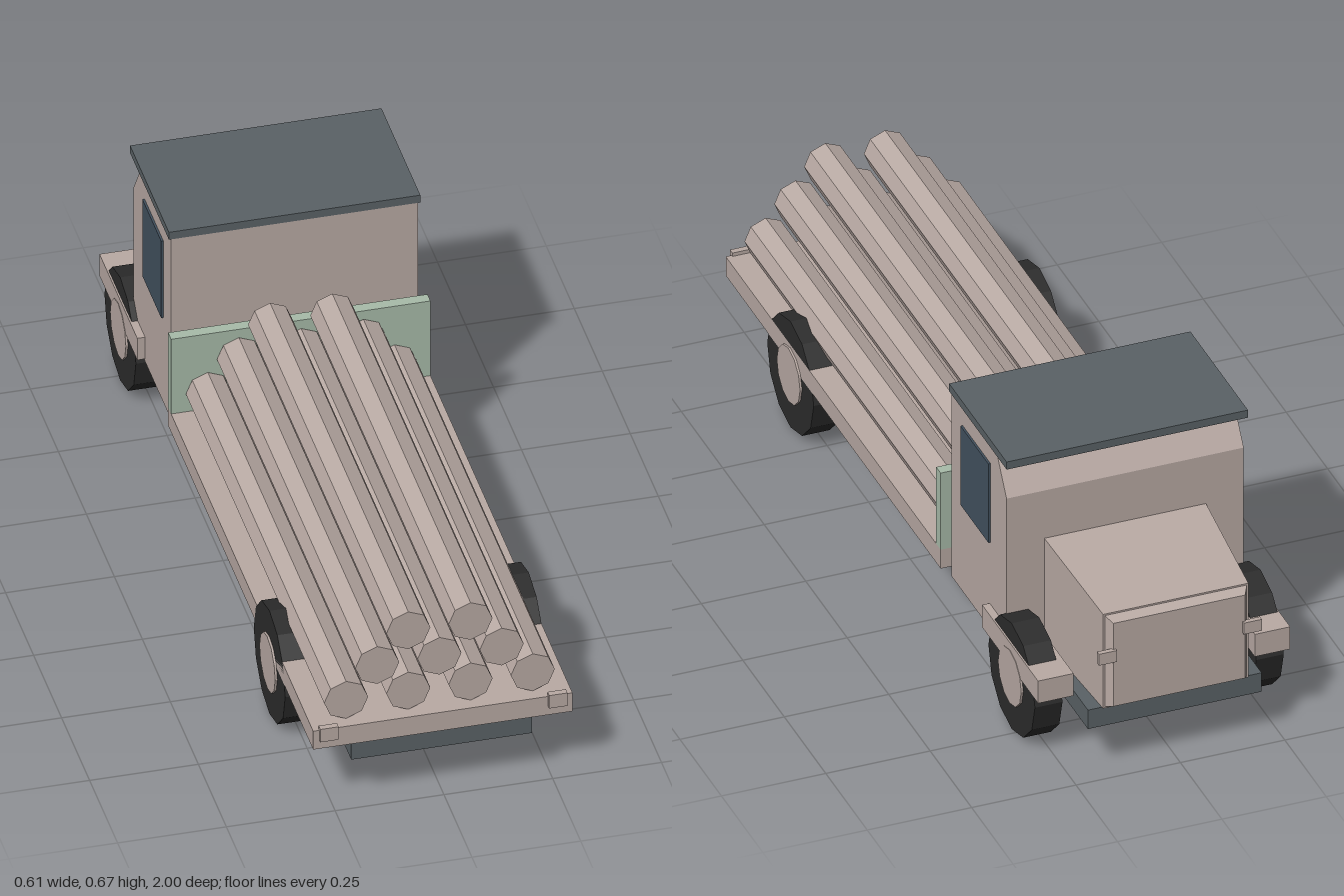
import * as THREE from 'three';

export function createModel() {
  const truck = new THREE.Group();
  truck.name = 'logTruck';

  const material = (name, color) => {
    const m = new THREE.MeshStandardMaterial({ color, flatShading: true });
    m.name = name;
    return m;
  };
  const beige = material('beige', 0xb9aaa4);
  const slate = material('slate', 0x5a6266);
  const green = material('paleGreen', 0xa8bba9);
  const glass = material('windowBlue', 0x42515f);
  const rubber = material('rubber', 0x2c2c2c);

  const add = (name, geometry, mat, parent = truck) => {
    const mesh = new THREE.Mesh(geometry, mat);
    mesh.name = name;
    parent.add(mesh);
    return mesh;
  };
  // Box given by its limits on each axis
  const box = (name, mat, x0, x1, y0, y1, z0, z1) => {
    const g = new THREE.BoxGeometry(x1 - x0, y1 - y0, z1 - z0);
    g.translate((x0 + x1) / 2, (y0 + y1) / 2, (z0 + z1) / 2);
    return add(name, g, mat);
  };
  // Box whose two end faces along z differ: [z, half width, bottom, top]
  const taperedBox = (name, mat, a, b) => {
    const g = new THREE.BoxGeometry(2, 2, 2);
    const p = g.attributes.position;
    for (let i = 0; i < p.count; i++) {
      const [z, w, y0, y1] = p.getZ(i) > 0 ? a : b;
      p.setXYZ(i, p.getX(i) * w, p.getY(i) > 0 ? y1 : y0, z);
    }
    g.computeVertexNormals();
    return add(name, g, mat);
  };

  // Frame, load bed and headboard
  box('chassis', slate, -0.208, 0.208, 0.118, 0.168, -0.966, 0.98);
  box('loadBed', beige, -0.298, 0.298, 0.168, 0.218, -0.305, 0.99);
  box('headboard', green, -0.298, 0.298, 0.218, 0.421, -0.305, -0.278);

  // Cab: side profile with a sloping windscreen, extruded across
  const profile = new THREE.Shape([
    [0.335, 0.163], [0.667, 0.163], [0.667, 0.567], [0.608, 0.653], [0.335, 0.653],
  ].map(([z, y]) => new THREE.Vector2(z, y)));
  const cab = new THREE.ExtrudeGeometry(profile, { depth: 0.568, bevelEnabled: false });
  cab.translate(0, 0, -0.284);
  cab.rotateY(Math.PI / 2);
  add('cab', cab, beige);
  box('roof', slate, -0.289, 0.289, 0.653, 0.673, -0.68, -0.333);

  // Bonnet and bevelled nose
  taperedBox('bonnet', beige, [-0.66, 0.194, 0.168, 0.441], [-0.972, 0.174, 0.168, 0.417]);
  taperedBox('grille', beige, [-0.972, 0.17, 0.172, 0.413], [-0.993, 0.158, 0.182, 0.402]);

  // Stack of octagonal logs
  const logs = new THREE.Group();
  logs.name = 'logs';
  truck.add(logs);
  const logGeometry = new THREE.CylinderGeometry(0.0505, 0.0505, 1.235, 8);
  logGeometry.rotateX(Math.PI / 2);
  [4, 3, 2].forEach((count, row) => {
    for (let i = 0; i < count; i++) {
      const log = add('log', logGeometry, beige, logs);
      log.position.set((i - (count - 1) / 2) * 0.143, 0.268 + row * 0.082, 0.3425);
    }
  });

  // Wheels with hubs
  const tyreGeometry = new THREE.CylinderGeometry(0.14, 0.14, 0.066, 12);
  const hubGeometry = new THREE.CylinderGeometry(0.07, 0.07, 0.07, 12);
  tyreGeometry.rotateZ(Math.PI / 2);
  hubGeometry.rotateZ(Math.PI / 2);
  for (const side of [-1, 1]) {
    for (const z of [0.6, -0.733]) {
      const wheel = new THREE.Group();
      wheel.name = 'wheel';
      wheel.position.set(side * 0.265, 0.14, z);
      add('tyre', tyreGeometry, rubber, wheel);
      add('hub', hubGeometry, beige, wheel).position.x = side * 0.003;
      truck.add(wheel);
    }
    // Paired details on either side
    const pair = (name, mat, x0, x1, ...rest) =>
      box(name, mat, Math.min(side * x0, side * x1), Math.max(side * x0, side * x1), ...rest);
    pair('sideWindow', glass, 0.281, 0.289, 0.393, 0.602, -0.57, -0.402);
    pair('fender', beige, 0.217, 0.302, 0.17, 0.229, -0.902, -0.565);
    pair('headlight', beige, 0.152, 0.195, 0.303, 0.333, -1, -0.988);
    pair('tailLight', beige, 0.242, 0.284, 0.192, 0.227, 0.985, 1);
  }

  return truck;
}
